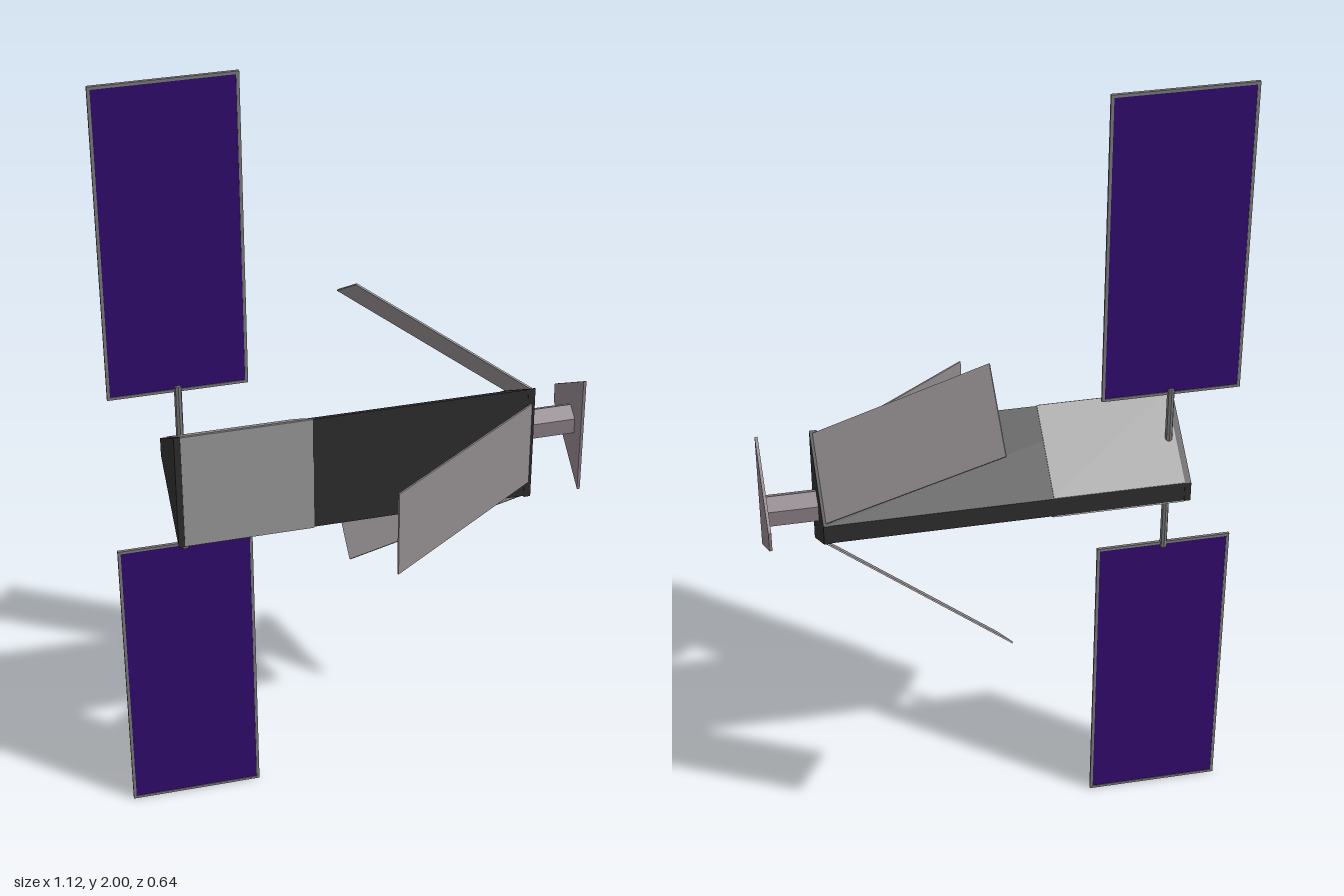
import * as THREE from 'three';

const mat = (color) => new THREE.MeshStandardMaterial({ color, flatShading: true });

// Truncated triangular section, as [z, y] corners
const section = [[0.035, 0.845], [0.035, 1.155], [-0.165, 1.025], [-0.165, 0.975]];

// Prism of that section along x, optionally scaled about its middle
function prism(x0, x1, scale = 1) {
  const pts = section.map(([z, y]) => new THREE.Vector2(
    -(-0.05 + (z + 0.05) * scale), 1 + (y - 1) * scale));
  const geo = new THREE.ExtrudeGeometry(new THREE.Shape(pts), { depth: x1 - x0, bevelEnabled: false });
  return geo.rotateY(Math.PI / 2).translate(x0, 0, 0);
}

export function createModel() {
  const model = new THREE.Group();
  const dark = mat(0x2c2c2c);
  const silver = mat(0x969696);
  const flapMat = mat(0x8f898b);
  const engineMat = mat(0x857a80);
  const metal = mat(0x777777);
  const purple = mat(0x300a6a);

  const add = (name, geo, material, parent = model) => {
    const mesh = new THREE.Mesh(geo, material);
    mesh.name = name;
    parent.add(mesh);
    return mesh;
  };

  // Hull with slightly larger end caps
  add('hull', prism(-0.42, 0.42, 0.985), dark);
  add('leftCap', prism(0.415, 0.432), dark);
  add('rightCap', prism(-0.432, -0.417), dark);

  // Three main faces: each gets a light cover and a hinged flap
  const faces = [
    { name: 'front', a: section[0], b: section[1], out: 0.28, tipX: 0.025 },
    { name: 'upper', a: section[1], b: section[2], out: 0.295, tipX: 0.04 },
    { name: 'lower', a: section[3], b: section[0], out: 0.28, tipX: 0.022 },
  ];
  for (const { name, a, b, out, tipX } of faces) {
    const pa = new THREE.Vector3(0, a[1], a[0]);
    const pb = new THREE.Vector3(0, b[1], b[0]);
    const across = pb.clone().sub(pa);
    const width = across.length();
    across.normalize();
    const mid = pa.clone().add(pb).multiplyScalar(0.5);
    const xAxis = new THREE.Vector3(1, 0, 0);
    const normal = new THREE.Vector3().crossVectors(across, xAxis);
    if (normal.dot(mid.clone().sub(new THREE.Vector3(0, 1, -0.04))) < 0) normal.negate();

    // Box whose length runs from one point to another and whose width lies across the face
    const plate = (p, q, w, t) => {
      const dir = q.clone().sub(p);
      const geo = new THREE.BoxGeometry(dir.length(), t, w);
      dir.normalize();
      const up = new THREE.Vector3().crossVectors(across, dir);
      return geo.applyMatrix4(new THREE.Matrix4().makeBasis(dir, up, across)
        .setPosition(p.clone().add(q).multiplyScalar(0.5)));
    };
    const at = (x, d) => mid.clone().addScaledVector(normal, d).setX(x);
    add(name + 'Cover', plate(at(-0.417, -0.001), at(-0.105, -0.001), width - 0.003, 0.005), silver);
    add(name + 'Flap', plate(at(0.424, 0), at(tipX, out), 0.224, 0.004), flapMat);
  }

  // Six-sided neck and end plate
  const neck = new THREE.CylinderGeometry(0.04, 0.04, 0.125, 6);
  neck.rotateY(Math.PI / 2).rotateZ(-Math.PI / 2);
  // Turn the section so that two corners point up and down
  neck.computeBoundingBox();
  const size = neck.boundingBox.getSize(new THREE.Vector3());
  if (size.y < size.z) neck.rotateX(Math.PI / 2);
  add('neck', neck.translate(0.492, 1, -0.045), engineMat);
  add('endPlate', prism(0.551, 0.558), engineMat);

  // Mirrored solar wings: mast, cells and frame
  for (const s of [1, -1]) {
    const wing = new THREE.Group();
    wing.name = s > 0 ? 'upperWing' : 'lowerWing';
    wing.position.set(-0.4, 1, -0.066);
    model.add(wing);
    const cy = s * 0.6075;
    add('mast', new THREE.CylinderGeometry(0.009, 0.009, 0.19, 8).translate(0, s * 0.135, 0), metal, wing);
    add('cells', new THREE.BoxGeometry(0.316, 0.774, 0.004).translate(0, cy, 0), purple, wing);
    for (const e of [1, -1]) {
      add('frameSide', new THREE.BoxGeometry(0.007, 0.785, 0.007).translate(e * 0.161, cy, 0), metal, wing);
      add('frameEnd', new THREE.BoxGeometry(0.322, 0.007, 0.007).translate(0, cy + e * 0.389, 0), metal, wing);
    }
  }
  return model;
}
